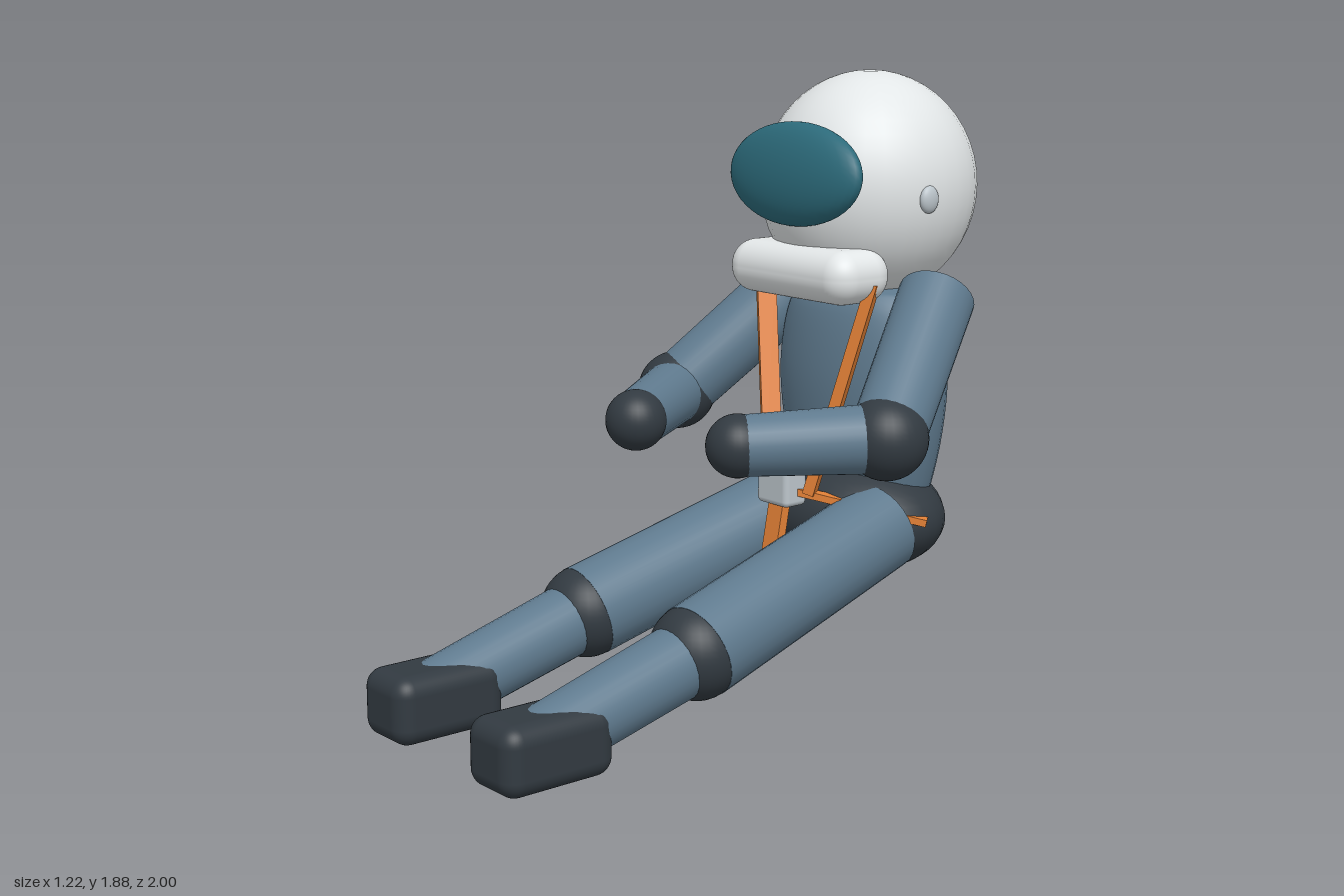
import * as THREE from 'three';
import { RoundedBoxGeometry } from 'three/addons/geometries/RoundedBoxGeometry.js';

const mat = (color) => new THREE.MeshStandardMaterial({ color });
const V = (x, y, z) => new THREE.Vector3(x, y, z);

export function createModel() {
  const group = new THREE.Group();
  const suit = mat(0x5f7a8e), dark = mat(0x323a41), shell = mat(0xe2e6e7);
  const glass = mat(0x2c6a7a), webbing = mat(0xe28036), metal = mat(0xbcc5cb);

  const add = (name, geometry, material, position) => {
    const mesh = new THREE.Mesh(geometry, material);
    mesh.name = name;
    mesh.position.copy(position);
    group.add(mesh);
    return mesh;
  };
  const ellipsoid = (name, material, center, rx, ry, rz) => {
    const mesh = add(name, new THREE.SphereGeometry(1, 32, 24), material, center);
    mesh.scale.set(rx, ry, rz);
    return mesh;
  };
  // Tapered cylinder between two joints
  const limb = (name, material, a, b, ra, rb) => {
    const geometry = new THREE.CylinderGeometry(rb, ra, a.distanceTo(b), 28);
    const mesh = add(name, geometry, material, a.clone().lerp(b, 0.5));
    mesh.quaternion.setFromUnitVectors(V(0, 1, 0), b.clone().sub(a).normalize());
  };
  // Flat band between two points
  const strap = (name, a, b, width, thickness) => {
    const geometry = new THREE.BoxGeometry(width, thickness, a.distanceTo(b));
    const mesh = add(name, geometry, webbing, a.clone().lerp(b, 0.5));
    mesh.lookAt(b);
  };

  // Torso: barrel profile, flattened front to back
  const profile = [[0, 0.48], [0.23, 0.5], [0.265, 0.6], [0.3, 0.75], [0.318, 0.92],
    [0.305, 1.06], [0.275, 1.16], [0.23, 1.21], [0, 1.24]];
  const curve = new THREE.SplineCurve(profile.slice(1, -1).map(([r, y]) => new THREE.Vector2(r, y)));
  const outline = [new THREE.Vector2(...profile[0]), ...curve.getPoints(20), new THREE.Vector2(...profile.at(-1))];
  add('torso', new THREE.LatheGeometry(outline, 36), suit, V(0, 0, -0.64)).scale.z = 0.64;
  ellipsoid('pelvis', dark, V(0, 0.495, -0.59), 0.345, 0.185, 0.255);

  // Helmet
  ellipsoid('helmet', shell, V(0, 1.525, -0.655), 0.33, 0.355, 0.345);
  ellipsoid('visor', glass, V(0, 1.577, -0.345), 0.288, 0.158, 0.072).rotation.x = -0.13;
  add('chinBar', new RoundedBoxGeometry(0.54, 0.165, 0.24, 6, 0.078), shell, V(0, 1.278, -0.405));

  // Harness centre
  add('buckle', new RoundedBoxGeometry(0.14, 0.12, 0.09, 4, 0.018), metal, V(0, 0.618, -0.3));
  strap('crotchStrap', V(0, 0.61, -0.3), V(0, 0.37, -0.255), 0.065, 0.03);

  // Mirrored parts
  for (const [side, s] of [['left', 1], ['right', -1]]) {
    const named = (part) => side + part;
    ellipsoid(named('VisorPivot'), metal, V(s * 0.322, 1.508, -0.597), 0.02, 0.042, 0.035);

    // Arm
    const shoulder = V(s * 0.3, 1.205, -0.66);
    const elbow = V(s * 0.483, 0.848, -0.275);
    const hand = V(s * 0.238, 0.835, 0.085);
    limb(named('UpperArm'), suit, shoulder, elbow, 0.118, 0.112);
    ellipsoid(named('Elbow'), dark, elbow, 0.125, 0.125, 0.125);
    limb(named('Forearm'), suit, elbow, hand, 0.104, 0.09);
    ellipsoid(named('Hand'), dark, hand, 0.094, 0.094, 0.094);

    // Leg
    const hip = V(s * 0.2, 0.485, -0.53);
    const knee = V(s * 0.265, 0.258, 0.265);
    const ankle = V(s * 0.267, 0.105, 0.83);
    limb(named('Thigh'), suit, hip, knee, 0.14, 0.143);
    ellipsoid(named('Knee'), dark, knee, 0.142, 0.142, 0.135);
    limb(named('Shin'), suit, knee, ankle, 0.112, 0.104);
    add(named('Boot'), new RoundedBoxGeometry(0.22, 0.205, 0.37, 5, 0.055), dark, V(s * 0.267, 0.1045, 0.815));

    // Harness straps
    strap(named('ShoulderStrap'), V(s * 0.245, 1.26, -0.445), V(s * 0.085, 0.6, -0.34), 0.06, 0.035);
    strap(named('LapStrap'), V(s * 0.05, 0.605, -0.315), V(s * 0.355, 0.52, -0.58), 0.045, 0.022);
  }
  return group;
}
